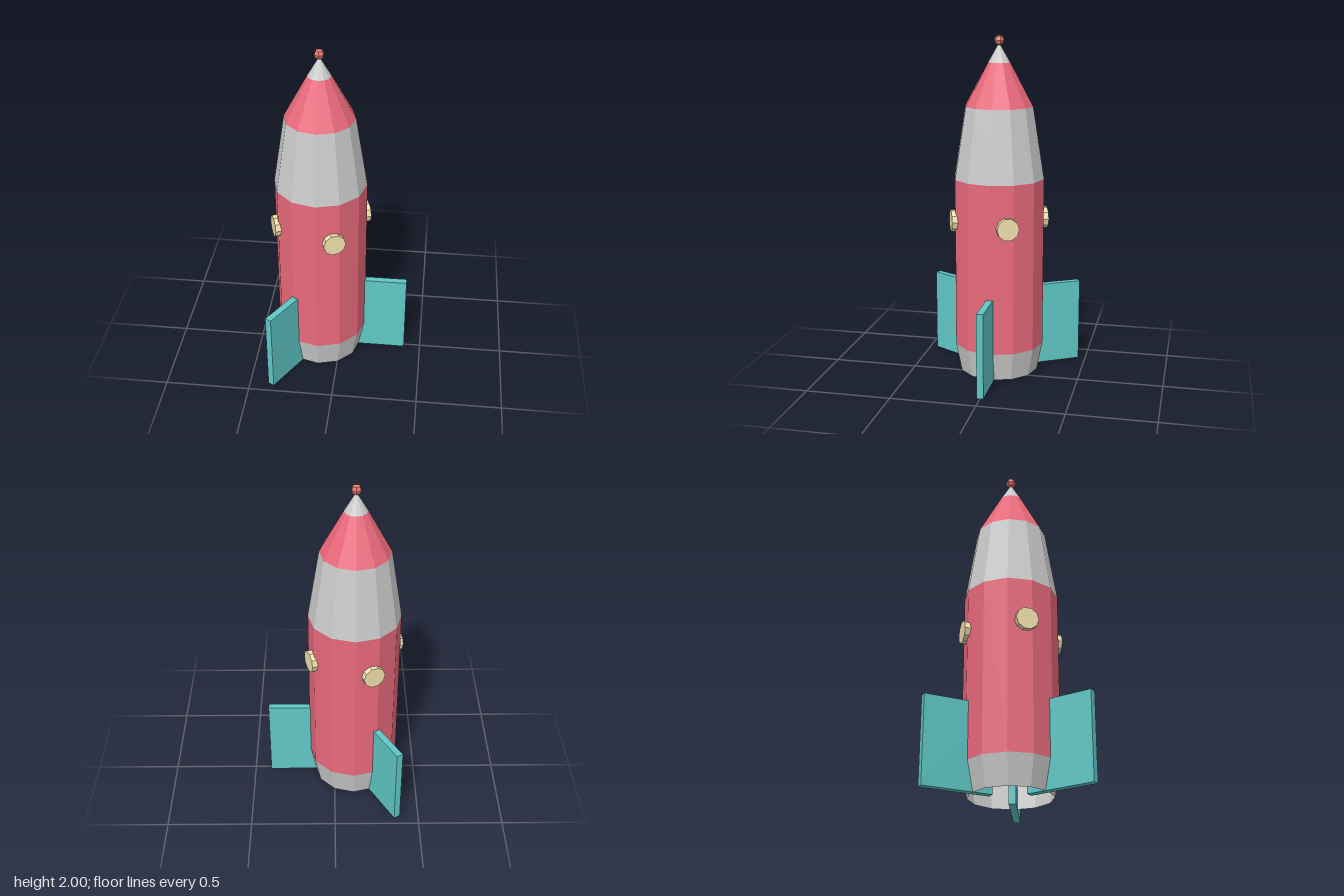
import * as THREE from 'three';

const AXIS_X = -0.115;

const mat = (color, side = THREE.FrontSide) =>
  new THREE.MeshStandardMaterial({ color, flatShading: true, side });

function add(parent, name, geometry, material) {
  const mesh = new THREE.Mesh(geometry, material);
  mesh.name = name;
  parent.add(mesh);
  return mesh;
}

export function createModel() {
  const rocket = new THREE.Group();
  rocket.name = 'rocket';
  const ship = new THREE.Group();
  ship.name = 'ship';
  ship.position.x = AXIS_X;
  rocket.add(ship);

  const red = mat(0xea6a7c, THREE.DoubleSide);
  const grey = mat(0xcccccc, THREE.DoubleSide);
  const teal = mat(0x60c8c6);
  const cream = mat(0xf2e2ae);
  const coral = mat(0xee7a6a);

  // Twelve-sided hull shell, open at the bottom: [name, r0, y0, r1, y1, material]
  const sections = [
    ['nozzleRing', 0.234, 0, 0.268, 0.17, grey],
    ['lowerHull', 0.268, 0.17, 0.268, 1.175, red],
    ['upperHull', 0.268, 1.175, 0.201, 1.595, grey],
    ['noseCone', 0.201, 1.595, 0.066, 1.845, red],
    ['noseTip', 0.066, 1.845, 0.001, 1.955, grey],
  ];
  for (const [name, r0, y0, r1, y1, material] of sections) {
    const profile = [new THREE.Vector2(r0, y0), new THREE.Vector2(r1, y1)];
    add(ship, name, new THREE.LatheGeometry(profile, 12), material);
  }

  // Small faceted bead on the very top
  const bead = add(ship, 'noseBead', new THREE.SphereGeometry(0.03, 6, 4), coral);
  bead.position.y = 1.97;
  bead.rotation.y = Math.PI / 6;

  // Three flat fins that run through the hull wall
  const finGeometry = new THREE.BoxGeometry(0.4, 0.5, 0.04).translate(0.316, 0.25, 0);
  for (let i = 0; i < 3; i++) {
    add(ship, 'fin', finGeometry, teal).rotation.y = (i * Math.PI * 2) / 3;
  }

  // Four round portholes facing outwards
  const portholeGeometry = new THREE.CylinderGeometry(0.065, 0.065, 0.04, 10)
    .rotateZ(-Math.PI / 2)
    .translate(0.268, 0.925, 0);
  for (let i = 0; i < 4; i++) {
    add(ship, 'porthole', portholeGeometry, cream).rotation.y = Math.PI / 8 + (i * Math.PI) / 2;
  }

  return rocket;
}
